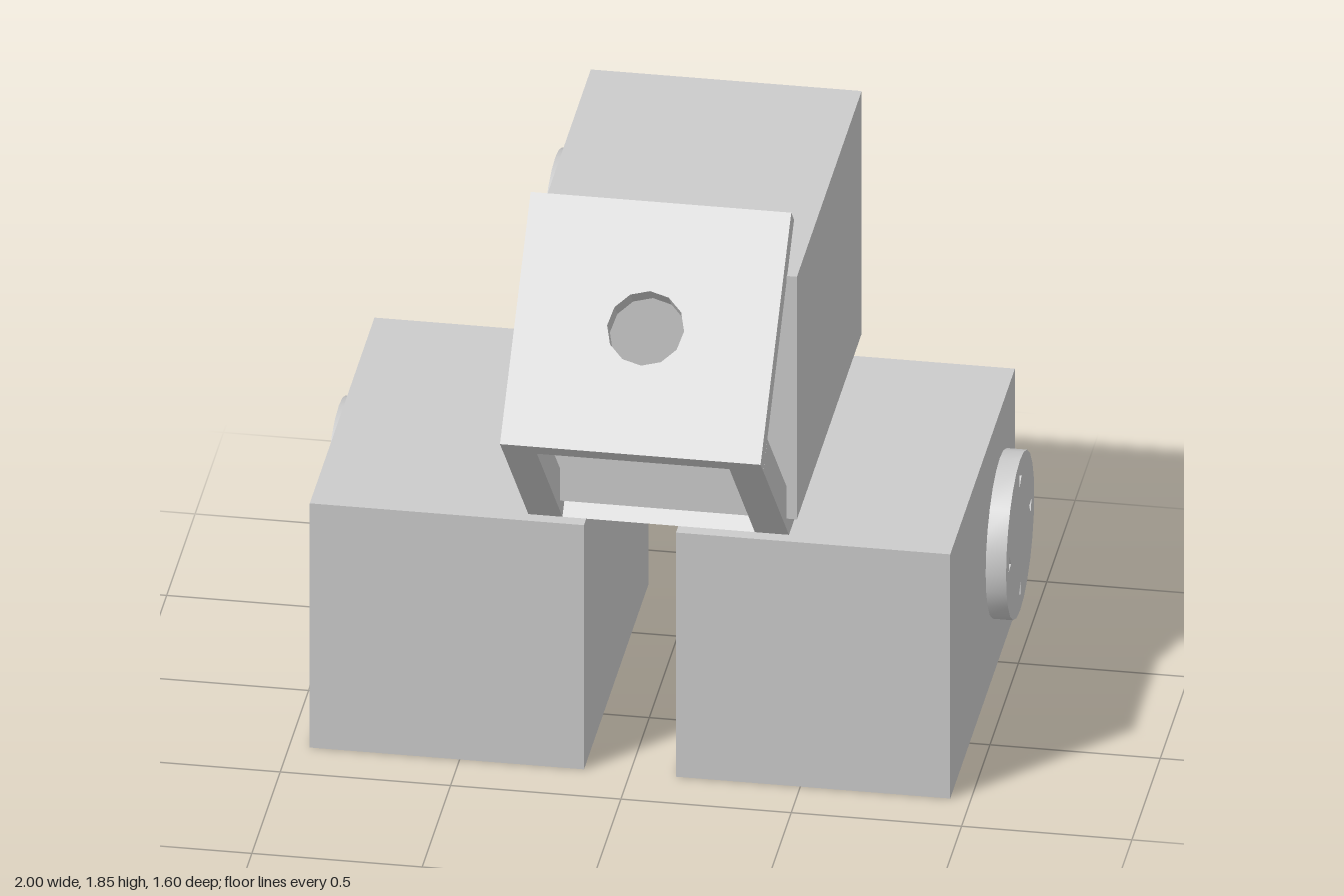
import * as THREE from 'three';
import { toCreasedNormals } from 'three/addons/utils/BufferGeometryUtils.js';

const material = new THREE.MeshStandardMaterial({ color: 0xcccccc });

function addMesh(parent, name, geometry) {
  const mesh = new THREE.Mesh(geometry, material);
  mesh.name = name;
  parent.add(mesh);
  return mesh;
}

// Box given by its lower and upper corners
function addBlock(parent, name, [x0, y0, z0], [x1, y1, z1]) {
  const mesh = addMesh(parent, name, new THREE.BoxGeometry(x1 - x0, y1 - y0, z1 - z0));
  mesh.position.set((x0 + x1) / 2, (y0 + y1) / 2, (z0 + z1) / 2);
}

// Side profile of [z, y] points, extruded along x
function addProfile(parent, name, points, x0, x1) {
  const shape = new THREE.Shape(points.map(([z, y]) => new THREE.Vector2(-z, y)));
  const geometry = new THREE.ExtrudeGeometry(shape, { depth: x1 - x0, bevelEnabled: false });
  addMesh(parent, name, geometry.rotateY(Math.PI / 2).translate(x0, 0, 0));
}

function ring(cx, cy, radius, sides, turn = 0) {
  return Array.from({ length: sides }, (_, i) => {
    const a = turn + (i / sides) * Math.PI * 2;
    return new THREE.Vector2(cx + radius * Math.cos(a), cy + radius * Math.sin(a));
  });
}

// Round motor hub with four small three-sided screw holes, facing along side (+1 or -1) in x
function addHub(parent, name, x, y, side) {
  const shape = new THREE.Shape(ring(0, 0, 0.248, 24));
  for (let i = 0; i < 4; i++) {
    const a = (i * Math.PI) / 2;
    shape.holes.push(new THREE.Path(ring(0.182 * Math.cos(a), 0.182 * Math.sin(a), 0.025, 3, a + 0.6)));
  }
  const geometry = new THREE.ExtrudeGeometry(shape, { depth: 0.06, bevelEnabled: false });
  const hub = addMesh(parent, name, toCreasedNormals(geometry, 0.5));
  hub.rotation.y = (side * Math.PI) / 2;
  hub.position.set(x, y, -0.532);
}

export function createModel() {
  const model = new THREE.Group();
  model.name = 'servoAssembly';

  // Two lower motor blocks with outward hubs
  for (const [side, label] of [[1, 'left'], [-1, 'right']]) {
    const xs = [side * 0.135, side * 0.94].sort((a, b) => a - b);
    addBlock(model, label + 'Motor', [xs[0], 0, -0.8], [xs[1], 0.805, 0.34]);
    addHub(model, label + 'Hub', side * 0.94, 0.406, side);
  }

  // Upper motor block, hub on its right side
  addBlock(model, 'upperMotor', [-0.305, 0.88, -0.8], [0.49, 1.68, 0.34]);
  addHub(model, 'upperHub', -0.305, 1.28, -1);

  // Bracket: base plate with slanted front edge, two struts, tilted plate
  const bracket = new THREE.Group();
  bracket.name = 'bracket';
  model.add(bracket);
  const x0 = -0.305, x1 = 0.46, strut = 0.1;
  addProfile(bracket, 'basePlate', [[-0.8, 0.805], [0.3, 0.805], [0.225, 0.88], [-0.8, 0.88]], x0, x1);
  const strutProfile = [[0.3, 0.805], [0.75, 1.255], [0.68, 1.325], [0.23, 0.875]];
  addProfile(bracket, 'rightStrut', strutProfile, x0, x0 + strut);
  addProfile(bracket, 'leftStrut', strutProfile, x1 - strut, x1);

  // Tilted square plate with a round hole
  const half = (x1 - x0) / 2;
  const square = new THREE.Shape([[-1, -1], [1, -1], [1, 1], [-1, 1]]
    .map(([x, y]) => new THREE.Vector2(x * half, y * half)));
  square.holes.push(new THREE.Path(ring(0, 0, 0.113, 12)));
  const plateGeometry = new THREE.ExtrudeGeometry(square, { depth: 0.07, bevelEnabled: false });
  const plate = addMesh(bracket, 'tiltedPlate', plateGeometry.translate(0, 0, -0.07));
  plate.rotation.x = -Math.PI / 4;
  plate.position.set((x0 + x1) / 2, 1.575, 0.53);

  return model;
}
